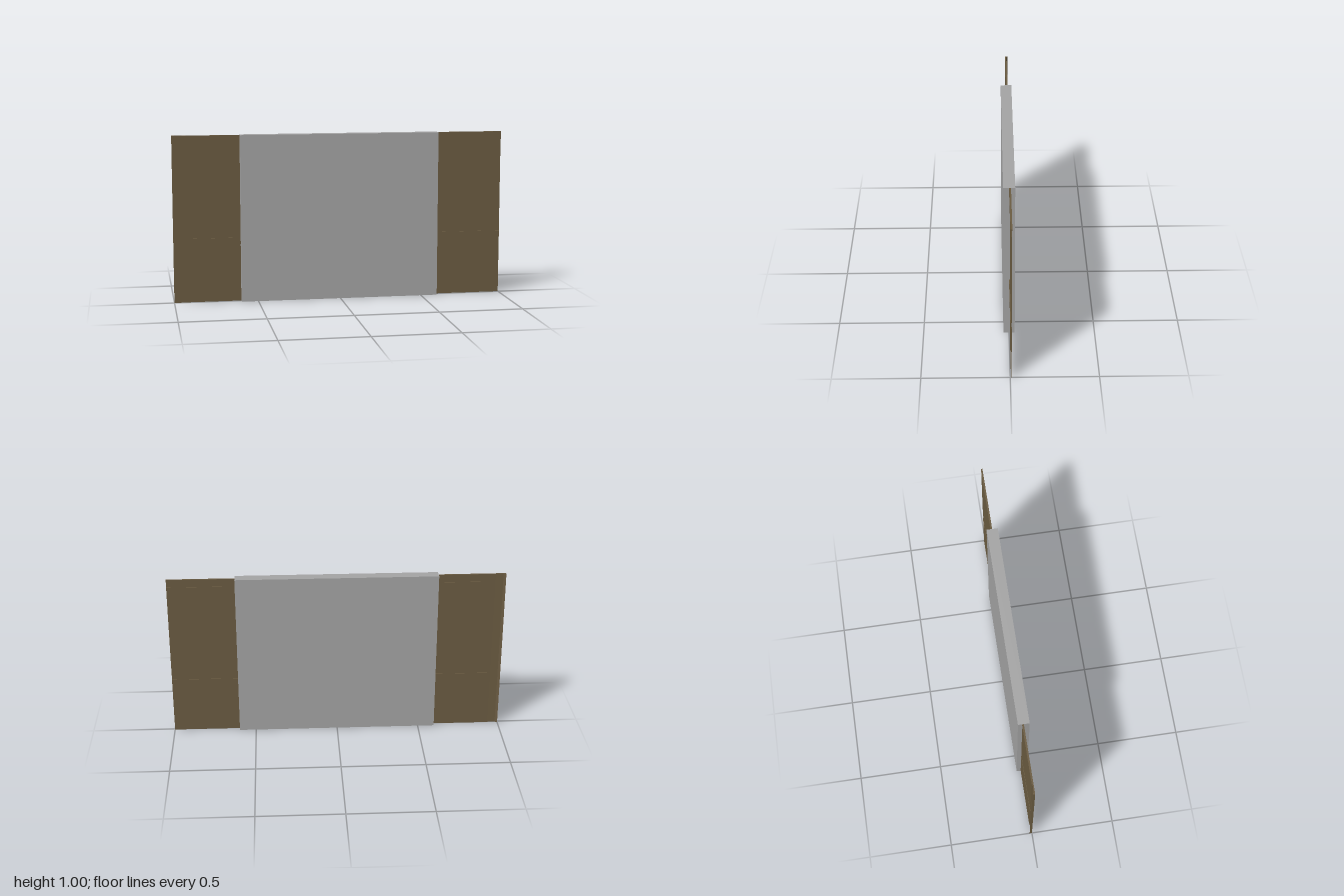
import * as THREE from 'three';

export function createModel() {
  const group = new THREE.Group();
  const grey = new THREE.MeshStandardMaterial({ color: 0xa3a3a3 });
  grey.name = 'plain grey';
  const wood = new THREE.MeshStandardMaterial({ color: 0x6a5b41 });
  wood.name = 'dark wood';

  // Box given by its limits on each axis
  function block(name, material, [x0, x1], [y0, y1], [z0, z1]) {
    const mesh = new THREE.Mesh(new THREE.BoxGeometry(x1 - x0, y1 - y0, z1 - z0), material);
    mesh.position.set((x0 + x1) / 2, (y0 + y1) / 2, (z0 + z1) / 2);
    mesh.name = name;
    group.add(mesh);
    return mesh;
  }

  // Central slab
  block('centreSlab', grey, [-0.6, 0.6], [0, 1], [-0.033, 0.033]);

  // Thin wall panels running through the slab
  const panelZ = [-0.008, -0.004];
  block('lowerPanel', wood, [-0.94, 1], [0, 0.345], panelZ);
  block('upperPanel', wood, [-0.94, 1], [0.385, 0.95], panelZ);

  // Rails stand slightly forward of the panels
  const railZ = [-0.005, 0];
  block('middleRail', wood, [-0.94, 1], [0.345, 0.385], railZ);
  block('topRail', wood, [-0.94, 1], [0.95, 0.99], railZ);
  block('topLip', wood, [-0.94, 1], [0.99, 0.999], [-0.01, 0]);

  // End stile, flaring backwards at its outer edge
  const profile = new THREE.Shape([
    new THREE.Vector2(-1, 0),
    new THREE.Vector2(-0.94, 0),
    new THREE.Vector2(-0.94, -0.005),
    new THREE.Vector2(-0.985, -0.007),
    new THREE.Vector2(-1, -0.014),
  ].map((p) => new THREE.Vector2(p.x, -p.y)));
  const stileGeometry = new THREE.ExtrudeGeometry(profile, { depth: 1, bevelEnabled: false });
  stileGeometry.rotateX(-Math.PI / 2);
  const stile = new THREE.Mesh(stileGeometry, wood);
  stile.name = 'endStile';
  group.add(stile);

  // Flip the stile profile so that its flare points backwards
  stile.geometry.computeBoundingBox();
  return group;
}
